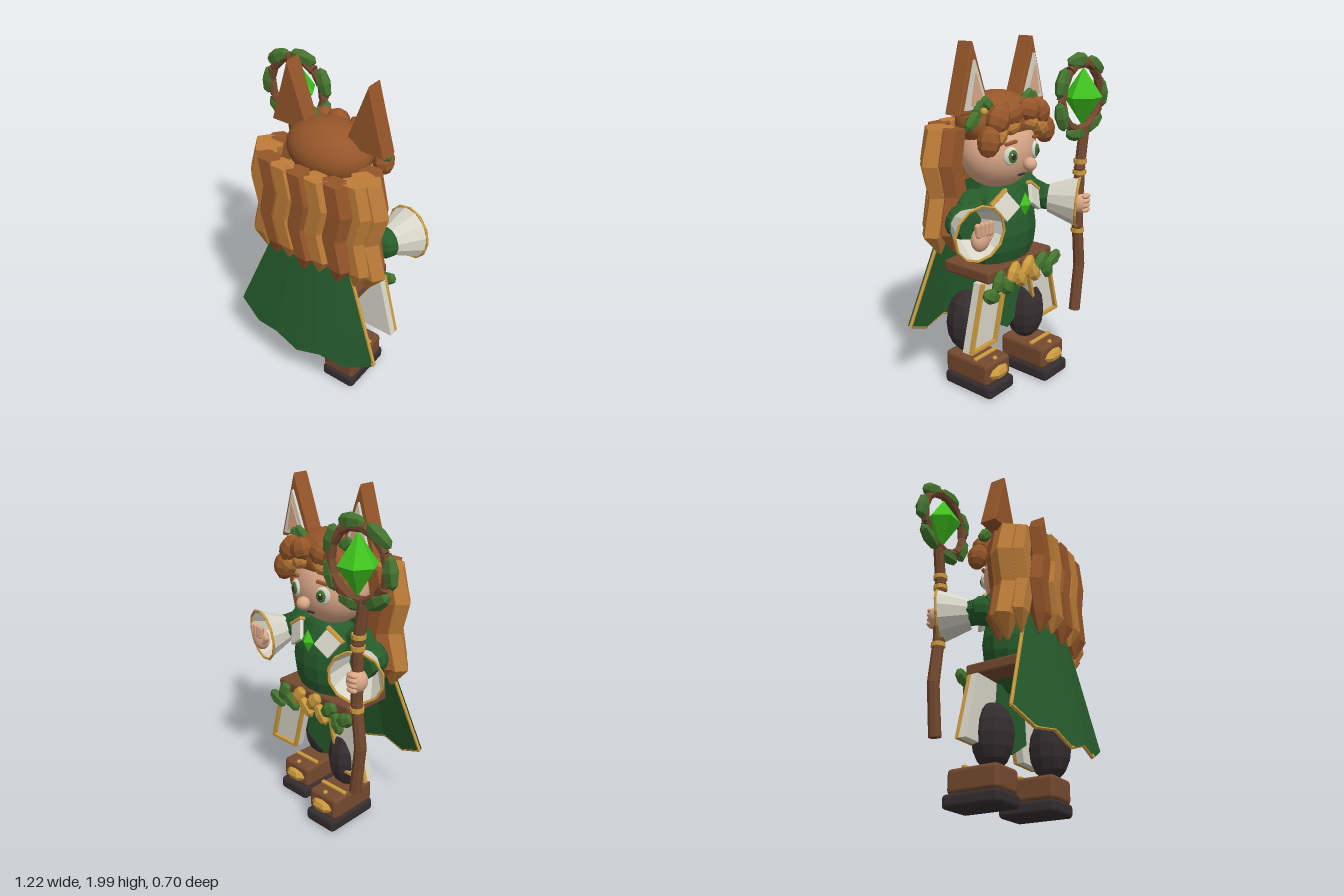
import * as THREE from 'three';
import { RoundedBoxGeometry } from 'three/addons/geometries/RoundedBoxGeometry.js';

const V = (x, y, z) => new THREE.Vector3(x, y, z);
const paint = (name, color, side = THREE.FrontSide) => {
  const m = new THREE.MeshStandardMaterial({ color, side });
  m.name = name;
  return m;
};

// faceted normals
function flat(geo) {
  const g = geo.index ? geo.toNonIndexed() : geo;
  g.computeVertexNormals();
  return g;
}

// wavy six-sided lock of hair, tapering to a tip
function lockGeometry(rx, rz, length, amp) {
  const g = new THREE.CylinderGeometry(1, 1, 1, 6, 4).rotateY(Math.PI / 6);
  const p = g.attributes.position;
  const levels = [0, 0.27, 0.53, 0.83, 1], sway = [0, 1, 0, 1.2, 0.6], width = [0.95, 1, 1, 0.92, 0.12];
  for (let i = 0; i < p.count; i++) {
    const k = Math.round((0.5 - p.getY(i)) * 4);
    p.setXYZ(i, p.getX(i) * rx * width[k] + amp * sway[k], -levels[k] * length, p.getZ(i) * rz * width[k]);
  }
  return flat(g);
}

export function createModel() {
  const M = {
    hair: paint('chestnut', 0x96562a), light: paint('light hair', 0xbd7c38),
    green: paint('cloth green', 0x265c2c, THREE.DoubleSide), leaf: paint('leaf green', 0x45742f),
    gem: paint('crystal green', 0x3fc41f), brown: paint('leather and wood', 0x74492f),
    dark: paint('charcoal', 0x352d30), gold: paint('gold', 0xcc9a3e),
    white: paint('off white', 0xd8d5c8, THREE.DoubleSide), skin: paint('skin', 0xdba888),
  };
  const model = new THREE.Group();
  const body = new THREE.Group();
  body.name = 'figure';
  body.position.x = 0.075;
  model.add(body);

  const add = (name, geo, mat, x = 0, y = 0, z = 0, parent = body) => {
    const m = new THREE.Mesh(geo, mat);
    m.name = name;
    m.position.set(x, y, z);
    parent.add(m);
    return m;
  };
  const ball = (name, mat, x, y, z, rx, ry = rx, rz = rx, parent = body) =>
    add(name, new THREE.SphereGeometry(1, 28, 18).scale(rx, ry, rz), mat, x, y, z, parent);
  const facetBall = (name, mat, x, y, z, rx, ry, rz, parent = body, w = 8, h = 6) =>
    add(name, flat(new THREE.SphereGeometry(1, w, h).scale(rx, ry, rz)), mat, x, y, z, parent);
  const rod = (name, mat, a, b, r1, r2, parent = body, sides = 8, open = false) => {
    const d = b.clone().sub(a);
    const c = a.clone().add(b).multiplyScalar(0.5);
    const m = add(name, flat(new THREE.CylinderGeometry(r2, r1, d.length(), sides, 1, open)), mat, c.x, c.y, c.z, parent);
    m.quaternion.setFromUnitVectors(V(0, 1, 0), d.normalize());
    return m;
  };
  const box = (name, mat, x, y, z, w, h, d, r = 0.015, parent = body) =>
    add(name, new RoundedBoxGeometry(w, h, d, 2, r), mat, x, y, z, parent);
  const leaf = (name, mat, x, y, z, long, wide, thick, turn, parent = body) => {
    const m = facetBall(name, mat, x, y, z, wide, long, thick, parent, 6, 4);
    m.rotation.z = turn;
    return m;
  };
  const polygon = (pts) => new THREE.Shape(pts.map(([x, y]) => new THREE.Vector2(x, y)));
  const slab = (pts, depth, bevel = 0) => new THREE.ExtrudeGeometry(polygon(pts),
    { depth, bevelEnabled: bevel > 0, bevelSize: bevel, bevelThickness: bevel, bevelOffset: -bevel, bevelSegments: 1 });

  // head
  ball('face', M.skin, 0, 1.4, 0, 0.24, 0.21, 0.19);
  ball('hairCap', M.hair, 0, 1.565, 0.025, 0.25, 0.162, 0.19);
  ball('nose', M.skin, 0, 1.35, -0.22, 0.038);
  box('mouth', M.dark, 0, 1.285, -0.163, 0.05, 0.01, 0.02, 0.004);

  // back hair
  for (let i = -2; i <= 2; i++)
    add('backLock', lockGeometry(0.078, 0.06, i % 2 ? 0.6 : 0.63, 0.035), i % 2 ? M.light : M.hair,
      i * 0.105 - 0.01, 1.55, 0.28 - i * i * 0.006);

  for (const s of [-1, 1]) {
    // fringe curls, the lighter ones tucked under
    facetBall('fringeCurl', M.hair, s * 0.075, 1.625, -0.15, 0.078, 0.068, 0.06).rotation.z = -s * 0.3;
    facetBall('fringeCurl', M.hair, s * 0.17, 1.605, -0.143, 0.07, 0.085, 0.064).rotation.z = s * 0.5;
    facetBall('fringeCurl', M.hair, s * 0.235, 1.5, -0.135, 0.062, 0.085, 0.065).rotation.z = s * 0.2;
    facetBall('fringeCurl', M.light, s * 0.175, 1.525, -0.148, 0.05, 0.068, 0.048).rotation.z = s * 0.6;
    facetBall('fringeCurl', M.light, s * 0.08, 1.56, -0.155, 0.058, 0.045, 0.045).rotation.z = -s * 0.4;

    // side locks
    add('sideLock', lockGeometry(0.075, 0.055, 0.66, s * 0.04), M.light, s * 0.28, 1.55, 0.205);
    add('sideLock', lockGeometry(0.095, 0.072, 0.7, s * 0.05), M.light, s * 0.31, 1.55, 0.14);
    add('sideLock', lockGeometry(0.08, 0.06, 0.68, s * 0.04), M.hair, s * 0.285, 1.55, 0.065);

    // ear with inner layers
    const ear = new THREE.Group();
    ear.name = 'ear';
    ear.position.set(s * 0.235, 1.64, 0);
    body.add(ear);
    const tri = (w, y0, y1) => [[-w, y0], [w, y0], [s * 0.012, y1]];
    add('earShell', slab(tri(0.122, -0.004, 0.36), 0.09, 0.006), M.hair, 0, 0, -0.036, ear);
    add('earLining', slab(tri(0.085, 0.02, 0.27), 0.02), M.white, 0, 0, -0.058, ear);
    add('innerEar', slab(tri(0.05, 0.04, 0.205), 0.009), M.skin, 0, 0, -0.065, ear);

    // leaf sprig under the ear
    leaf('sprigLeaf', M.leaf, s * 0.275, 1.605, -0.06, 0.07, 0.04, 0.032, s * 0.8);
    leaf('sprigLeaf', M.leaf, s * 0.235, 1.655, -0.06, 0.058, 0.036, 0.026, s * 0.2);
    leaf('sprigLeaf', M.leaf, s * 0.165, 1.675, -0.062, 0.065, 0.038, 0.028, -s * 0.9);
    ball('sprigBerry', M.gold, s * 0.228, 1.65, -0.095, 0.02);

    // eye
    const eye = new THREE.Group();
    eye.name = 'eye';
    eye.position.set(s * 0.105, 1.405, -0.172);
    eye.rotation.y = -s * 0.36;
    body.add(eye);
    ball('eyeWhite', M.white, 0, 0, 0, 0.044, 0.05, 0.018, eye);
    ball('iris', M.leaf, -s * 0.006, 0, -0.012, 0.029, 0.035, 0.012, eye);
    ball('pupil', M.dark, -s * 0.006, 0, -0.02, 0.015, 0.019, 0.008, eye);
    ball('eyeGlint', M.white, 0.005, 0.013, -0.026, 0.006, 0.006, 0.004, eye);
    box('eyebrow', M.hair, 0, 0.072, -0.003, 0.075, 0.018, 0.022, 0.007, eye).rotation.z = -s * 0.18;

    // collar flap
    const flap = new THREE.Group();
    flap.name = 'collarFlap';
    flap.position.set(s * 0.125, 1.13, -0.155);
    flap.rotation.set(0.35, -s * 0.35, -s * 0.5);
    body.add(flap);
    box('flapCloth', M.white, 0, 0, 0, 0.115, 0.125, 0.022, 0.004, flap);
    box('flapTrim', M.gold, 0, 0.064, 0, 0.13, 0.02, 0.034, 0.004, flap);

    // skirt panel: slanted cloth with a level hem, trimmed on three edges
    const panel = new THREE.Group();
    panel.name = 'skirtPanel';
    body.add(panel);
    const slant = (a, b, y0, y1) => {
      const at = (w, y) => [s * (0.085 + w + (0.72 - y) * 0.26), y];
      return [at(a, y0), at(b, y0), at(b, y1), at(a, y1)];
    };
    add('panelCloth', slab(slant(0, 0.215, 0.335, 0.72), 0.045), M.white, 0, 0, -0.118, panel);
    add('panelTrim', slab(slant(0, 0.018, 0.335, 0.72), 0.024), M.gold, 0, 0, -0.142, panel);
    add('panelTrim', slab(slant(0.197, 0.215, 0.335, 0.72), 0.024), M.gold, 0, 0, -0.142, panel);
    add('panelTrim', slab(slant(0.018, 0.197, 0.335, 0.351), 0.024), M.gold, 0, 0, -0.142, panel);

    // leg and boot, the -x foot stepping forward
    const z = s > 0 ? 0.1 : -0.05, x = s * 0.18, bz = s > 0 ? 0.002 : -0.122;
    facetBall('leg', M.dark, x, 0.39, z, 0.115, 0.19, 0.122, body, 10, 8);
    box('sole', M.dark, x, 0.048, bz, 0.225, 0.08, 0.355, 0.025);
    box('boot', M.brown, x, 0.15, bz + 0.01, 0.215, 0.138, 0.32, 0.025);
    box('bootStrap', M.gold, x, 0.222, bz - 0.05, 0.19, 0.018, 0.024, 0.005);
    facetBall('bootOrnament', M.gold, x, 0.145, bz - 0.15, 0.08, 0.04, 0.038, body, 6, 4);
    ball('bootStud', M.gold, x, 0.22, bz - 0.12, 0.014);
  }

  // torso, belt, front cloth
  facetBall('torso', M.green, 0, 0.95, -0.005, 0.26, 0.29, 0.175, body, 14, 10);
  box('belt', M.brown, 0, 0.755, 0, 0.57, 0.07, 0.335, 0.015);
  add('frontCloth', slab([[-0.12, 0.74], [-0.15, 0.42], [0, 0.33], [0.15, 0.42], [0.12, 0.74]], 0.03), M.green, 0, 0, -0.065);
  add('brooch', flat(new THREE.OctahedronGeometry(1).scale(0.048, 0.066, 0.034)), M.gem, 0, 1.12, -0.19);

  // belt garland
  for (let i = 0; i < 10; i++) {
    const t = i / 4.5 - 1;
    leaf('garlandLeaf', Math.abs(t) < 0.5 ? M.gold : M.leaf, -t * 0.28, 0.72 - t * t * 0.03 + (i % 2 ? 0.025 : -0.03), -0.183,
      0.07, 0.046, 0.033, (i % 2 ? 1 : -1) * 0.7 + t * 0.4);
  }

  // cape: flared double sheet with a pointed hem, trimmed on the lining
  const hem = [0.42, 0.345, 0.37, 0.315, 0.37, 0.345, 0.42];
  const capePoint = (c, v, inset) => {
    const u = c / 3 - 1, y = THREE.MathUtils.lerp(1.2, hem[c], v);
    return V(u * (0.17 + 0.315 * v), y, 0.215 + 0.13 * v - 0.075 * u * u * (0.3 + 0.7 * v) - inset);
  };
  for (const [name, inset] of [['cape', 0], ['capeLining', 0.03]]) {
    const g = new THREE.PlaneGeometry(1, 1, 6, 4);
    for (let r = 0, i = 0; r <= 4; r++)
      for (let c = 0; c <= 6; c++, i++) g.attributes.position.setXYZ(i, ...capePoint(c, r / 4, inset).toArray());
    add(name, flat(g), M.green);
  }
  for (let c = 0; c < 6; c++) rod('capeHem', M.gold, capePoint(c, 1, 0.022), capePoint(c + 1, 1, 0.022), 0.01, 0.01, body, 6);
  for (const c of [0, 6]) rod('capeEdge', M.gold, capePoint(c, 0, 0.022), capePoint(c, 1, 0.022), 0.01, 0.01, body, 6);

  // arms with flared cuffs
  const arm = (s, cuffIn, cuffOut) => {
    const elbow = V(s * 0.345, 1.06, -0.02);
    facetBall('shoulder', M.green, s * 0.23, 1.11, 0, 0.11, 0.115, 0.085);
    rod('upperArm', M.green, V(s * 0.22, 1.11, 0), elbow, 0.1, 0.085);
    facetBall('elbow', M.green, elbow.x, elbow.y, elbow.z, 0.088, 0.085, 0.075);
    rod('forearm', M.green, elbow, cuffIn.clone().lerp(cuffOut, 0.3), 0.08, 0.07);
    rod('cuff', M.white, cuffIn, cuffOut, 0.085, 0.152, body, 12, true);
    const rim = add('cuffTrim', flat(new THREE.TorusGeometry(0.152, 0.008, 5, 12)), M.gold, cuffOut.x, cuffOut.y, cuffOut.z);
    rim.quaternion.setFromUnitVectors(V(0, 0, 1), cuffOut.clone().sub(cuffIn).normalize());
  };
  arm(1, V(0.345, 1.06, -0.05), V(0.385, 1.05, -0.2));
  arm(-1, V(-0.345, 1.06, -0.1), V(-0.425, 1.05, -0.255));

  // raised open hand
  ball('openHand', M.skin, 0.39, 1.025, -0.205, 0.058, 0.065, 0.042);
  for (let i = 0; i < 4; i++) {
    const finger = add('finger', new THREE.CapsuleGeometry(0.016, 0.05, 4, 8), M.skin, 0.35 + i * 0.027, 1.085, -0.238 + i * 0.004);
    finger.rotation.z = (1.5 - i) * 0.08;
  }
  add('thumb', new THREE.CapsuleGeometry(0.017, 0.04, 4, 8), M.skin, 0.335, 1.035, -0.22).rotation.z = 0.7;

  // staff
  const staff = new THREE.Group();
  staff.name = 'staff';
  model.add(staff);
  const path = [V(-0.35, 0.35, -0.25), V(-0.385, 0.64, -0.25), V(-0.355, 0.9, -0.25), V(-0.36, 1.25, -0.25), V(-0.395, 1.47, -0.25)];
  for (let i = 0; i < 4; i++) {
    rod('staffShaft', M.brown, path[i], path[i + 1], 0.035 - i * 0.001, 0.034 - i * 0.001, staff);
    if (i) facetBall('staffKnot', M.brown, path[i].x, path[i].y, path[i].z, 0.035, 0.035, 0.035, staff);
  }
  for (const [x, y] of [[-0.358, 0.87], [-0.36, 1.225], [-0.365, 1.29]])
    add('staffBand', flat(new THREE.CylinderGeometry(0.04, 0.04, 0.025, 10)), M.gold, x, y, -0.25, staff);
  ball('grippingHand', M.skin, -0.36, 1.04, -0.255, 0.058, 0.065, 0.058, staff);
  for (let i = 0; i < 4; i++) ball('grippingFinger', M.skin, -0.365, 1.085 - i * 0.028, -0.3, 0.035, 0.016, 0.018, staff);

  // staff ring with leaves
  const ringPoint = (a, r) => V(-0.355 + Math.cos(a) * r, 1.665 + Math.sin(a) * r, -0.25);
  for (let i = 0; i < 14; i++) {
    const a = (i / 14) * Math.PI * 2, b = ((i + 1) / 14) * Math.PI * 2;
    rod('ringTwig', M.brown, ringPoint(a, 0.19), ringPoint(b, 0.19), 0.03, 0.023, staff, 7);
  }
  for (let i = 0; i < 7; i++) {
    const a = Math.PI + (i / 7) * Math.PI * 2, p = ringPoint(a, 0.208);
    leaf('ringLeaf', M.leaf, p.x, p.y, p.z, 0.09, 0.047, 0.037, a + (i % 2 ? 0.15 : -0.15), staff);
  }

  // floating crystal
  for (const s of [-1, 1]) {
    const cone = flat(new THREE.ConeGeometry(0.11, 0.165, 6, 1, true).rotateY(Math.PI / 2));
    add('crystal', cone, M.gem, -0.36, 1.665 + s * 0.0825, -0.257, staff).rotation.x = s < 0 ? Math.PI : 0;
  }
  return model;
}
